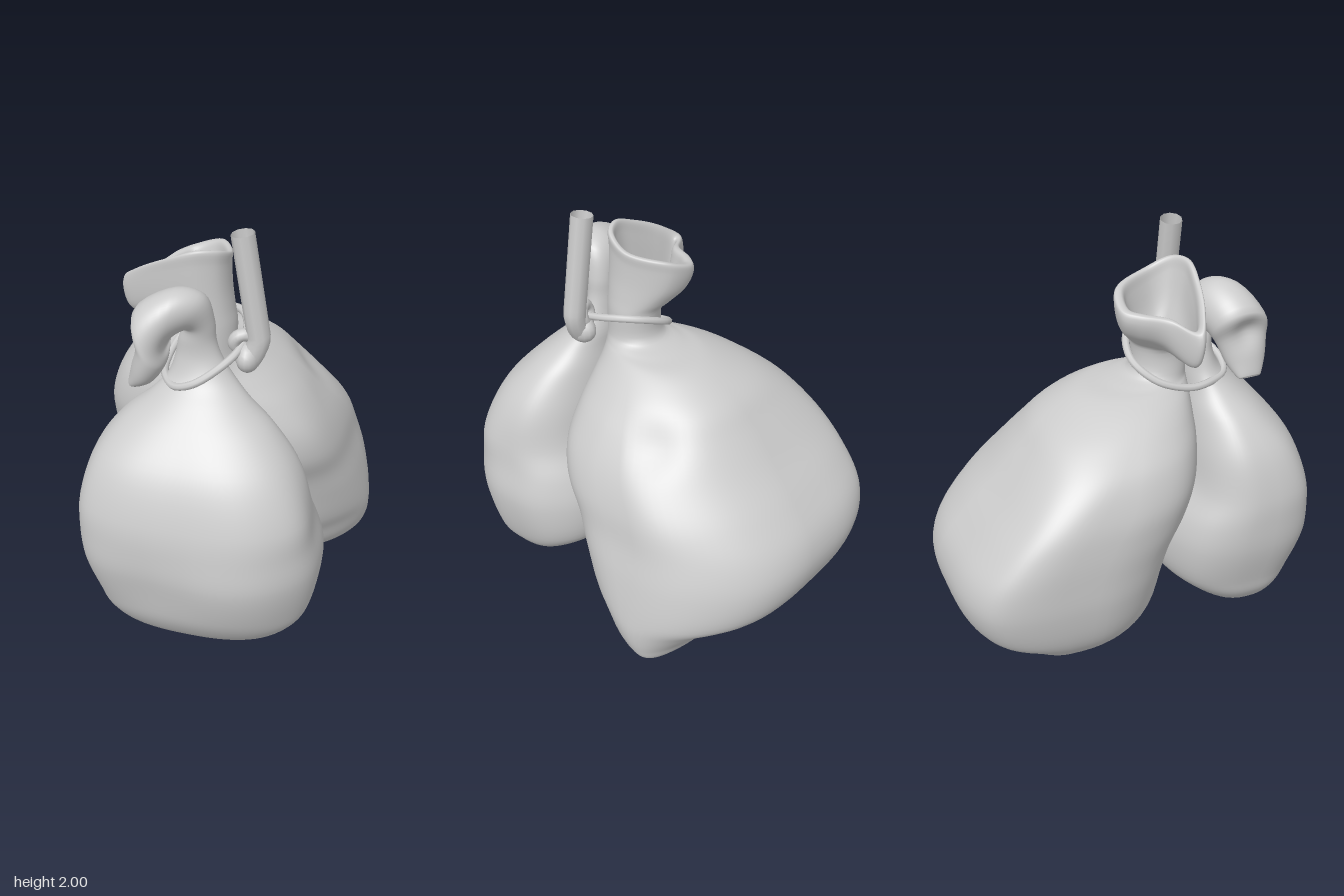
import * as THREE from 'three';

const V = (x, y, z) => new THREE.Vector3(x, y, z);
const SEG = 72;
const { clamp, lerp } = THREE.MathUtils;
const mat = new THREE.MeshStandardMaterial({ color: 0xcccccc, side: THREE.DoubleSide });

// Smooth skin over closed rings, listed along the length; columns are splined.
function loft(rings, steps, adjust) {
  const cols = [];
  for (let i = 0; i < SEG; i++) cols.push(new THREE.CatmullRomCurve3(rings.map(r => r[i])));
  const rows = (rings.length - 1) * steps, pos = [], idx = [];
  for (let j = 0; j <= rows; j++) {
    for (let i = 0; i < SEG; i++) {
      const p = cols[i].getPoint(j / rows);
      adjust(p, (i / SEG) * Math.PI * 2);
      pos.push(p.x, p.y, p.z);
    }
  }
  for (let j = 0; j < rows; j++) {
    for (let i = 0; i < SEG; i++) {
      const k = (i + 1) % SEG, a = j * SEG + i, b = a + SEG, c = j * SEG + k, d = c + SEG;
      idx.push(a, b, c, b, d, c);
    }
  }
  const g = new THREE.BufferGeometry();
  g.setAttribute('position', new THREE.Float32BufferAttribute(pos, 3));
  g.setIndex(idx);
  g.computeVertexNormals();
  return g;
}

// Superellipse ring; exps holds one exponent per quadrant (+x+z, -x+z, -x-z, +x-z).
// The half axis may differ in front (v) and behind (vBack).
function ring(c, u, v, exps = [2, 2, 2, 2], vBack = v) {
  const pts = [];
  for (let i = 0; i < SEG; i++) {
    const t = (i / SEG) * Math.PI * 2, e = 2 / exps[Math.floor((i / SEG) * 4)];
    const co = Math.cos(t), si = Math.sin(t);
    pts.push(c.clone()
      .addScaledVector(u, Math.sign(co) * Math.abs(co) ** e)
      .addScaledVector(si > 0 ? v : vBack, Math.sign(si) * Math.abs(si) ** e));
  }
  return pts;
}

// Level ring from its extents and the z of its widest line.
// The exponents go from low to mid up the belly, then to round at the neck.
function levelRing([y, x0, x1, z0, z1, crest = (z0 + z1) / 2], low, mid) {
  const belly = clamp((y - 0.2) / 0.55, 0, 1), round = clamp((1.3 - y) / 0.35, 0, 1);
  const exps = low.map((e, i) => lerp(2, lerp(e, mid[i], belly), round));
  return ring(V((x0 + x1) / 2, y, crest), V((x1 - x0) / 2, 0, 0), V(0, 0, z1 - crest), exps,
    V(0, 0, crest - z0));
}

// Pushes cloth in (or out) around a point.
function dent(p, at, radius, push) {
  p.addScaledVector(push, Math.exp(-p.distanceToSquared(at) / (radius * radius)));
}

// Soft wavy folds around a vertical axis, fading out at the neck.
function folds(p, t, cx, cz, amount) {
  const fade = clamp((p.y - 0.05) * 4, 0, 1) * clamp((1.25 - p.y) * 5, 0, 1);
  const s = 1 + amount * fade * (Math.sin(5 * t + 2.5 * p.y) + 0.6 * Math.sin(9 * t - 3 * p.y));
  p.x = cx + (p.x - cx) * s;
  p.z = cz + (p.z - cz) * s;
}

function frontSack() {
  const rows = [
    [0.055, 0.0, 0.0, 0.61, 0.61], [0.06, -0.18, 0.2, 0.52, 0.67], [0.1, -0.37, 0.38, 0.39, 0.74],
    [0.2, -0.46, 0.49, 0.25, 0.82], [0.3, -0.49, 0.53, 0.16, 0.87], [0.5, -0.54, 0.56, 0.135, 0.92],
    [0.65, -0.55, 0.55, 0.17, 0.91], [0.8, -0.54, 0.53, 0.25, 0.88], [1.0, -0.48, 0.44, 0.28, 0.8],
    [1.15, -0.37, 0.32, 0.3, 0.68], [1.25, -0.25, 0.2, 0.31, 0.58], [1.33, -0.18, 0.12, 0.31, 0.5],
    [1.42, -0.15, 0.06, 0.32, 0.46],
  ];
  const rings = rows.map(r => levelRing(r, [2.3, 2.7, 2.5, 3], [2.4, 3, 2.5, 2.4]));
  // The gathered top bends over and hangs as a folded flap.
  const flap = [
    [-0.05, 1.5, 0.39, 0.085, 0, 0.065], [-0.04, 1.58, 0.4, 0.07, 0.015, 0.07],
    [-0.075, 1.635, 0.44, 0.07, 0.1, 0.1], [-0.14, 1.64, 0.48, 0.02, 0.135, 0.125],
    [-0.22, 1.575, 0.52, -0.075, 0.1, 0.135], [-0.215, 1.5, 0.54, -0.065, 0.06, 0.12],
    [-0.25, 1.4, 0.55, -0.045, 0.04, 0.09], [-0.295, 1.345, 0.55, -0.015, 0.012, 0.05],
    [-0.25, 1.41, 0.55, -0.015, 0.015, 0.05], [-0.22, 1.5, 0.54, 0, 0, 0],
  ];
  for (const [x, y, z, ux, uy, vz] of flap) rings.push(ring(V(x, y, z), V(ux, uy, 0), V(0, 0, vz)));
  return loft(rings, 5, (p, t) => {
    folds(p, t, 0, 0.55, 0.005);
    dent(p, V(-0.15, 0.45, 0.92), 0.22, V(0, 0, -0.035));
    dent(p, V(0.5, 0.75, 0.5), 0.16, V(-0.03, 0, 0));
    dent(p, V(-0.3, 1.57, 0.54), 0.07, V(0.04, 0, 0));
  });
}

function backSack() {
  const rows = [
    [0.01, 0.14, 0.14, -0.34, -0.34], [0.012, -0.12, 0.48, -0.46, -0.2, -0.38],
    [0.05, -0.3, 0.595, -0.53, -0.02, -0.4], [0.12, -0.46, 0.63, -0.59, 0.08, -0.38],
    [0.22, -0.56, 0.645, -0.71, 0.13, -0.36], [0.32, -0.61, 0.635, -0.86, 0.15, -0.36],
    [0.5, -0.645, 0.6, -0.92, 0.17, -0.35], [0.65, -0.65, 0.56, -0.89, 0.21, -0.33],
    [0.8, -0.645, 0.53, -0.78, 0.28, -0.27], [0.95, -0.62, 0.47, -0.64, 0.31],
    [1.1, -0.55, 0.38, -0.51, 0.32], [1.2, -0.45, 0.29, -0.42, 0.32], [1.27, -0.35, 0.21, -0.31, 0.32],
    [1.315, -0.26, 0.15, -0.2, 0.32], [1.335, -0.21, 0.11, -0.06, 0.32], [1.37, -0.18, 0.08, 0.05, 0.32],
    [1.5, -0.17, 0.075, 0.06, 0.32],
  ];
  const rings = rows.map(r => levelRing(r, [1.65, 2.1, 3.3, 2.1], [4.2, 2.3, 4.5, 1.9]));
  // Wavy open mouth: rim points run from +x through +z, -x and -z.
  const rim = new THREE.CatmullRomCurve3([
    V(0.045, 1.82, 0.16), V(0.02, 1.87, 0.28), V(-0.07, 1.88, 0.33), V(-0.2, 1.83, 0.32),
    V(-0.34, 1.76, 0.28), V(-0.41, 1.71, 0.23), V(-0.3, 1.72, 0.14), V(-0.24, 1.73, 0.02),
    V(-0.18, 1.74, -0.04), V(-0.05, 1.79, -0.02),
  ], true);
  const rimPts = Array.from({ length: SEG }, (_, i) => rim.getPoint(i / SEG));
  const neck = rings[rings.length - 1], mid = V(-0.1, 1.7, 0.2);
  const blend = (h, y) => neck.map((p, i) => {
    const q = p.clone().lerp(rimPts[i], h);
    q.y = lerp(p.y, rimPts[i].y, y);
    return q;
  });
  const inside = (s, drop) => rimPts.map(p => V(
    mid.x + (p.x - mid.x) * s, p.y - drop, mid.z + (p.z - mid.z) * s));
  rings.push(blend(0.4, 0.22), blend(0.85, 0.5), blend(1.04, 0.82), rimPts,
    inside(0.86, 0.0), inside(0.76, 0.06), inside(0.5, 0.2),
    ring(V(-0.08, 1.54, 0.2), V(0, 0, 0), V(0, 0, 0)));
  return loft(rings, 5, (p, t) => {
    folds(p, t, 0, -0.3, 0.004);
    dent(p, V(0.3, 1.05, -0.22), 0.13, V(-0.04, -0.03, 0));
    dent(p, V(-0.36, 1.58, 0.23), 0.12, V(-0.045, -0.075, 0));
  });
}

export function createModel() {
  const model = new THREE.Group();
  const add = (name, geometry) => {
    const mesh = new THREE.Mesh(geometry, mat);
    mesh.name = name;
    model.add(mesh);
    return mesh;
  };

  add('frontSack', frontSack());
  add('backSack', backSack());

  // Cord tied round both necks
  const cord = new THREE.CatmullRomCurve3([
    V(-0.2, 1.305, 0.4), V(-0.13, 1.305, 0.495), V(-0.04, 1.34, 0.515), V(0.06, 1.4, 0.46),
    V(0.13, 1.455, 0.37), V(0.135, 1.49, 0.25), V(0.1, 1.51, 0.14), V(0.03, 1.5, 0.065),
    V(-0.1, 1.44, 0.04), V(-0.2, 1.36, 0.13), V(-0.225, 1.31, 0.28),
  ], true);
  add('cordLoop', new THREE.TubeGeometry(cord, 64, 0.018, 8, true));

  // Knot: a lump with a cord wrapped over it
  const knot = add('knot', new THREE.SphereGeometry(0.07, 16, 12));
  knot.position.set(0.165, 1.41, 0.335);
  knot.scale.set(0.8, 1, 1.15);
  const wrap = add('knotWrap', new THREE.TorusGeometry(0.04, 0.03, 10, 20));
  wrap.position.set(0.14, 1.48, 0.33);
  wrap.rotation.set(0.3, 0.4, 0);

  // Hanging rope, straight above a short bend
  const path = new THREE.CurvePath();
  path.add(new THREE.QuadraticBezierCurve3(V(0.17, 1.4, 0.335), V(0.22, 1.48, 0.33), V(0.207, 1.53, 0.33)));
  path.add(new THREE.LineCurve3(V(0.207, 1.53, 0.33), V(0.135, 1.994, 0.33)));
  add('hangingRope', new THREE.TubeGeometry(path, 24, 0.052, 10, false));

  return model;
}
